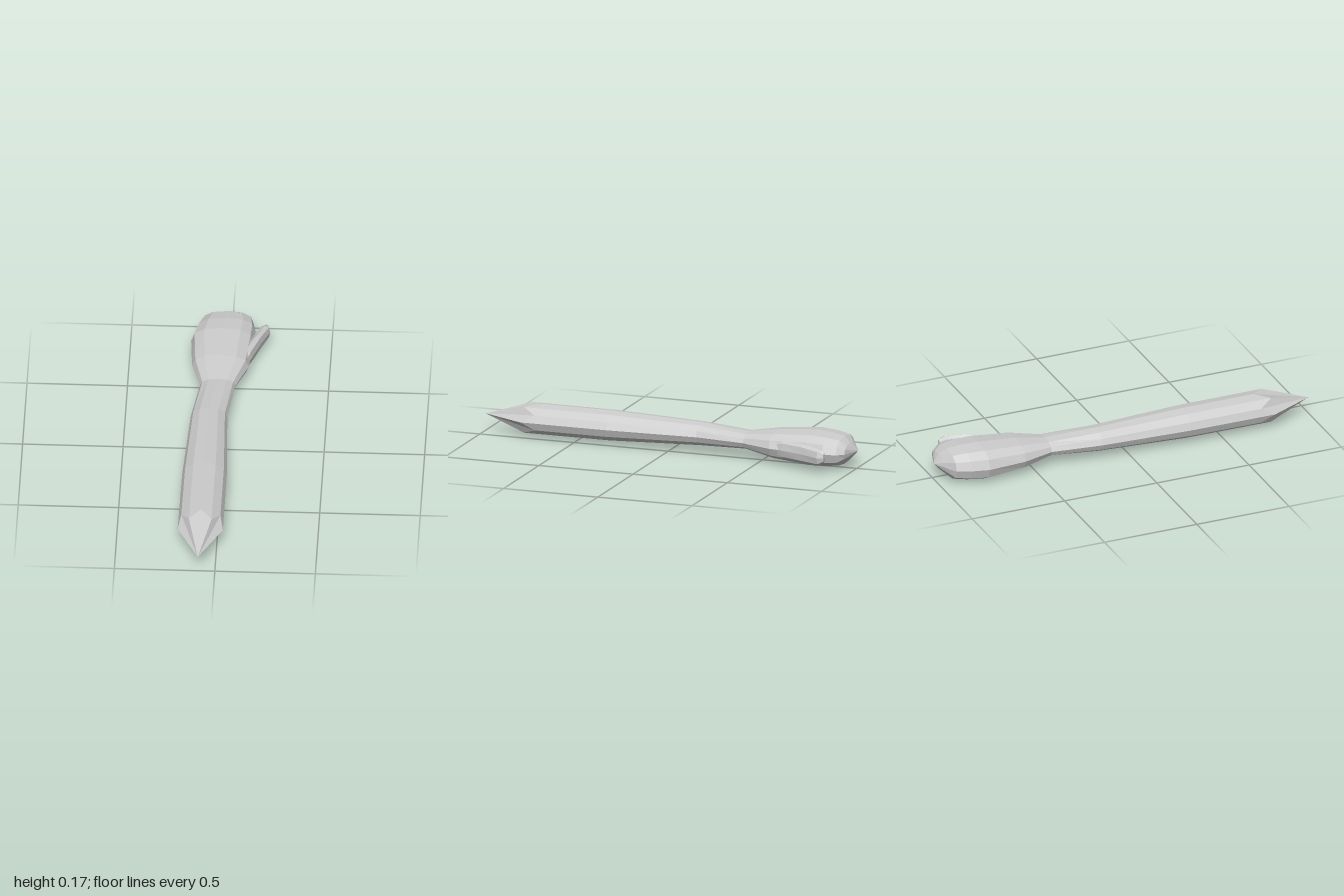
import * as THREE from 'three';

const material = new THREE.MeshStandardMaterial({
  color: 0xcccccc, flatShading: true, side: THREE.DoubleSide,
});

// Skins a row of rounded sections running from front to back.
// Section: [z, xMin, xMax, yMin, yMax, corner power (1 = ellipse), zigzag in z]
function loft(name, sections, sides) {
  const positions = [], index = [];
  const bend = (v, p) => Math.sign(v) * Math.pow(Math.abs(v), p);
  for (const [z, x0, x1, y0, y1, power = 1, zigzag = 0] of sections) {
    for (let j = 0; j < sides; j++) {
      const a = (j / sides) * Math.PI * 2;
      positions.push(
        (x0 + x1) / 2 + bend(Math.cos(a), power) * (x1 - x0) / 2,
        (y0 + y1) / 2 + bend(Math.sin(a), power) * (y1 - y0) / 2,
        z + (j % 2 ? -zigzag : zigzag));
    }
  }
  const last = sections.length - 1;
  const isPoint = (i) => sections[i][1] === sections[i][2];
  for (let i = 0; i < last; i++) {
    for (let j = 0; j < sides; j++) {
      const k = (j + 1) % sides;
      const a = i * sides + j, b = i * sides + k;
      const c = a + sides, d = b + sides;
      if (!isPoint(i)) index.push(a, c, b);
      if (!isPoint(i + 1)) index.push(b, c, d);
    }
  }
  const indexed = new THREE.BufferGeometry();
  indexed.setAttribute('position', new THREE.Float32BufferAttribute(positions, 3));
  indexed.setIndex(index);
  const geometry = indexed.toNonIndexed();
  geometry.computeVertexNormals();
  const mesh = new THREE.Mesh(geometry, material);
  mesh.name = name;
  return mesh;
}

export function createModel() {
  const group = new THREE.Group();
  group.name = 'arm';

  // Pointed upper end, forearm, wrist and closed mitten hand
  group.add(loft('forearmAndHand', [
    [1.00, -0.085, -0.085, 0.087, 0.087],
    [0.74, -0.195, 0.03, 0.011, 0.163, 1, 0.035],
    [0.32, -0.192, 0.03, 0.012, 0.162],
    [-0.15, -0.170, 0.012, 0.030, 0.146],
    [-0.41, -0.135, 0.040, 0.045, 0.129, 0.9],
    [-0.57, -0.182, 0.100, 0.018, 0.156, 0.85],
    [-0.77, -0.195, 0.118, 0.001, 0.172, 0.8],
    [-0.86, -0.174, 0.121, 0.005, 0.168, 0.8],
    [-0.93, -0.147, 0.108, 0.016, 0.157, 0.8],
    [-0.965, -0.085, 0.085, 0.045, 0.129, 0.9],
    [-1.00, -0.020, -0.020, 0.087, 0.087],
  ], 12));

  // Thumb, splayed away from the left side of the hand
  group.add(loft('thumb', [
    [-0.52, 0.06, 0.06, 0.087, 0.087],
    [-0.64, 0.050, 0.112, 0.042, 0.132, 0.8],
    [-0.76, 0.105, 0.154, 0.042, 0.134, 0.8],
    [-0.86, 0.140, 0.195, 0.044, 0.126, 0.8],
    [-0.89, 0.160, 0.184, 0.060, 0.110, 0.9],
    [-0.893, 0.172, 0.172, 0.086, 0.086],
  ], 8));

  return group;
}
